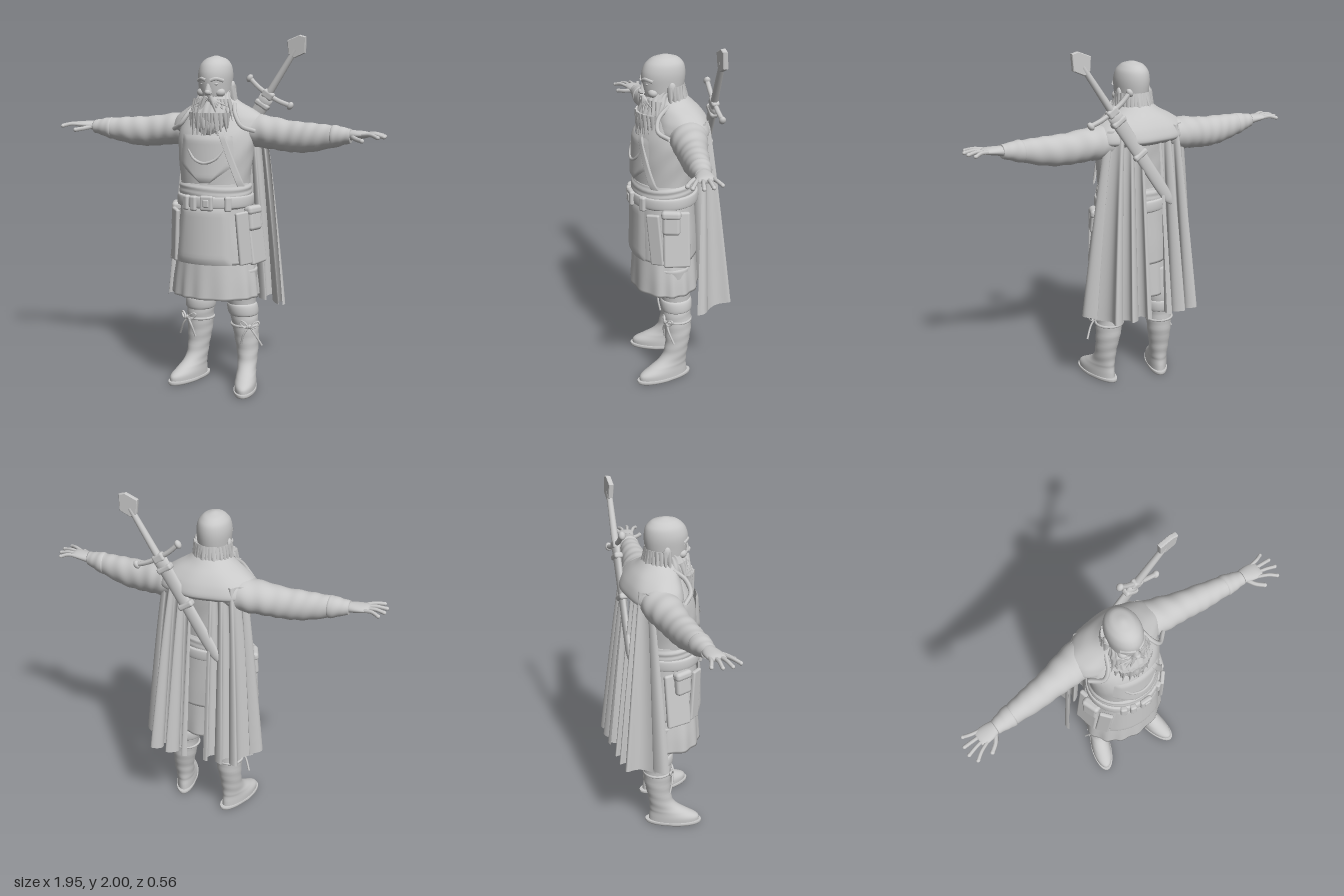
import * as THREE from 'three';
import { RoundedBoxGeometry } from 'three/addons/geometries/RoundedBoxGeometry.js';

const stone = new THREE.MeshStandardMaterial({ color: 0xc8c8c8, side: THREE.DoubleSide });
stone.name = 'plain grey';
const V = (x, y, z) => new THREE.Vector3(x, y, z);

function add(parent, name, geometry, x = 0, y = 0, z = 0, rx = 0, ry = 0, rz = 0) {
  const m = new THREE.Mesh(geometry, stone);
  m.name = name;
  m.position.set(x, y, z);
  m.rotation.set(rx, ry, rz);
  parent.add(m);
  return m;
}

// Grid surface; wrap joins the last column to the first
function skin(rows, cols, fn, wrap = false, flip = false) {
  const pos = [], idx = [], n = wrap ? cols : cols + 1;
  for (let i = 0; i <= rows; i++)
    for (let j = 0; j < n; j++) pos.push(...fn(i / rows, j / cols, i));
  for (let i = 0; i < rows; i++)
    for (let j = 0; j < cols; j++) {
      const a = i * n + j, b = i * n + (j + 1) % n, c = a + n, d = b + n;
      if (flip) idx.push(a, b, c, b, d, c); else idx.push(a, c, b, b, c, d);
    }
  const g = new THREE.BufferGeometry();
  g.setAttribute('position', new THREE.Float32BufferAttribute(pos, 3));
  g.setIndex(idx);
  g.computeVertexNormals();
  return g;
}

// Closed loft through elliptical sections [t, c1, c2, r1, r2] along axis y or x
function loft(keys, { axis = 'y', rows = 24, cols = 32, ripple = () => 1 } = {}) {
  const path = new THREE.CatmullRomCurve3(keys.map(k => V(k[0], k[1], k[2])));
  const size = new THREE.CatmullRomCurve3(keys.map(k => V(k[3], k[4], k[0])));
  const falling = keys[0][0] > keys[keys.length - 1][0];
  return skin(rows + 2, cols, (_, v, i) => {
    const u = THREE.MathUtils.clamp((i - 1) / rows, 0, 1);
    const p = path.getPoint(u), s = size.getPoint(u), a = v * Math.PI * 2;
    const k = i === 0 || i === rows + 2 ? 0 : ripple(a, u, p.x);
    const c = Math.cos(a) * s.x * k, d = Math.sin(a) * s.y * k;
    return axis === 'y' ? [p.y + c, p.x, p.z + d] : [p.x, p.y + c, p.z + d];
  }, true, (axis === 'x') !== falling);
}

// Tapered lock from a to b
function lock(parent, name, a, b, r, flat = 0.7) {
  const d = b.clone().sub(a), g = new THREE.ConeGeometry(r, d.length(), 8);
  const m = add(parent, name, g);
  m.position.copy(a).addScaledVector(d, 0.5);
  m.quaternion.setFromUnitVectors(V(0, 1, 0), d.normalize());
  m.scale.z = flat;
}
function cord(parent, name, pts, r) {
  add(parent, name, new THREE.TubeGeometry(new THREE.CatmullRomCurve3(pts.map(p => V(...p))), 16, r, 7));
}
function ball(parent, name, x, y, z, sx, sy, sz) {
  add(parent, name, new THREE.SphereGeometry(1, 20, 14), x, y, z).scale.set(sx, sy, sz);
}

// Curved plate lying on the front of an elliptical body
function plate(parent, name, y0, y1, edges, rx, rz, zc, lean = 0) {
  add(parent, name, skin(16, 20, (u, v) => {
    const [l, r] = edges(u), x = l + (r - l) * v;
    const rim = Math.min(1, 12 * Math.min(u, 1 - u, v, 1 - v));
    return [x, y0 + (y1 - y0) * u, zc + lean * u + (rz + 0.012 * rim) * Math.sqrt(Math.max(0, 1 - (x / rx) ** 2))];
  }, false, true));
}

function buildBody(g) {
  const pleats = (a, u) => 1 + (1 - u) * 0.025 * Math.sin(a * 13 + Math.sin(a * 3));
  add(g, 'skirt', loft([[0.54, 0, 0.06, 0.255, 0.19], [0.64, 0, 0.06, 0.245, 0.185], [0.76, 0, 0.06, 0.225, 0.178],
    [0.9, 0, 0.06, 0.2, 0.165]], { cols: 96, ripple: pleats }));
  add(g, 'tunicSkirt', loft([[0.74, 0, 0.06, 0.235, 0.182], [0.85, 0, 0.06, 0.225, 0.18], [0.98, 0, 0.06, 0.208, 0.174],
    [1.1, 0, 0.06, 0.198, 0.168]], { cols: 64, ripple: (a, u) => 1 + (1 - u) * 0.012 * Math.sin(a * 9) }));
  add(g, 'torso', loft([[1.04, 0, 0.06, 0.195, 0.165], [1.2, 0, 0.062, 0.2, 0.168], [1.34, 0, 0.057, 0.215, 0.168],
    [1.45, 0, 0.04, 0.222, 0.158], [1.54, 0, 0.015, 0.2, 0.135], [1.62, 0, 0.02, 0.1, 0.09]],
    { ripple: (a, u, y) => 1 + 0.006 * Math.sin(a * 7 + y * 40) }));
  add(g, 'sash', loft([[1.05, 0, 0.06, 0.2, 0.175], [1.08, 0, 0.06, 0.21, 0.184], [1.13, 0, 0.06, 0.208, 0.182],
    [1.17, 0, 0.06, 0.207, 0.18], [1.19, 0, 0.06, 0.198, 0.172]],
    { ripple: (a, u, y) => 1 + 0.01 * Math.sin(y * 190 + 1.5 * Math.sin(a * 2)) }));
  add(g, 'belt', loft([[1.055, 0, 0.06, 0.205, 0.18], [1.062, 0, 0.06, 0.218, 0.193], [1.118, 0, 0.06, 0.217, 0.192],
    [1.125, 0, 0.06, 0.205, 0.18]], { cols: 48 }));
  add(g, 'beltBuckle', new RoundedBoxGeometry(0.075, 0.085, 0.03, 3, 0.012), 0.02, 1.09, 0.255);
  add(g, 'buckleTongue', new RoundedBoxGeometry(0.035, 0.045, 0.02, 3, 0.008), 0.02, 1.09, 0.266);
  for (const [x, z, t] of [[-0.11, 0.225, -0.5], [0.13, 0.215, 0.6], [-0.06, 0.245, -0.25]])
    add(g, 'beltLoop', new RoundedBoxGeometry(0.04, 0.085, 0.035, 3, 0.012), x, 1.085, z, 0, t, 0);
  plate(g, 'apron', 0.74, 1.07, u => [-0.185 + 0.04 * u, 0.155 - 0.02 * u], 0.25, 0.187, 0.063, -0.012);
  // Shield-shaped breast plate and its raised band
  const shield = u => { const w = 0.155 * Math.min(1, 0.2 + 2.2 * u) - 0.03 * Math.max(0, u - 0.6); return [-w, w]; };
  plate(g, 'breastPlate', 1.2, 1.46, shield, 0.23, 0.17, 0.07, -0.02);
  cord(g, 'breastPlateBand', [[-0.1, 1.38, 0.215], [-0.06, 1.33, 0.237], [0, 1.31, 0.248], [0.06, 1.33, 0.237], [0.1, 1.38, 0.215]], 0.008);
  plate(g, 'shoulderStrap', 1.18, 1.48, u => [0.172 - 0.1 * u, 0.205 - 0.1 * u], 0.23, 0.172, 0.066, -0.012);
  // Hip bags and hanging side flaps
  for (const s of [-1, 1]) {
    add(g, 'sideFlap', new RoundedBoxGeometry(0.03, 0.32, 0.15, 3, 0.013), s * 0.235, 0.89, 0.05, 0, s * -0.2, s * 0.14);
    add(g, 'hipBag', new RoundedBoxGeometry(0.05, 0.13, 0.1, 4, 0.02), s * 0.232, 0.99, 0.08, 0, s * -0.35, s * 0.1);
    add(g, 'hipBagLid', new RoundedBoxGeometry(0.056, 0.05, 0.11, 4, 0.02), s * 0.23, 1.04, 0.08, 0, s * -0.35, s * 0.1);
    add(g, 'frontFlap', new RoundedBoxGeometry(0.08, 0.3, 0.025, 3, 0.01), s * 0.205, 0.89, 0.165, 0, s * 0.85, s * 0.1);
  }
  // Shoulder mantle
  add(g, 'mantle', loft([[1.46, 0, -0.025, 0.265, 0.14], [1.485, 0, -0.025, 0.288, 0.165], [1.54, 0, -0.022, 0.268, 0.152],
    [1.59, 0, -0.01, 0.2, 0.13], [1.63, 0, 0.01, 0.13, 0.11], [1.67, 0, 0.02, 0.085, 0.08]],
    { cols: 64, ripple: (a, u) => 1 + 0.02 * (1 - u) * Math.sin(a * 8) }));
  for (const s of [-1, 1])
    cord(g, 'collarEdge', [[s * 0.11, 1.625, 0.06], [s * 0.14, 1.57, 0.125], [s * 0.18, 1.51, 0.14], [s * 0.24, 1.48, 0.09]], 0.013);
}

function buildHead(g) {
  add(g, 'head', loft([[1.56, 0, 0.03, 0.08, 0.08], [1.65, 0, 0.06, 0.083, 0.1], [1.72, 0, 0.06, 0.09, 0.117],
    [1.79, 0, 0.058, 0.094, 0.122], [1.84, 0, 0.053, 0.083, 0.107], [1.872, 0, 0.05, 0.055, 0.072], [1.888, 0, 0.05, 0.012, 0.015]]));
  lock(g, 'nose', V(0, 1.685, 0.175), V(0, 1.775, 0.168), 0.024, 1);
  ball(g, 'noseTip', 0, 1.692, 0.182, 0.018, 0.016, 0.02);
  for (const s of [-1, 1]) {
    ball(g, 'cheek', s * 0.05, 1.69, 0.13, 0.032, 0.026, 0.03);
    ball(g, 'eye', s * 0.036, 1.737, 0.158, 0.016, 0.009, 0.012);
    cord(g, 'brow', [[s * 0.012, 1.757, 0.178], [s * 0.04, 1.766, 0.167], [s * 0.072, 1.755, 0.135]], 0.011);
    ball(g, 'ear', s * 0.093, 1.715, 0.035, 0.013, 0.036, 0.022);
    for (let i = 0; i < 4; i++)
      lock(g, 'moustache', V(s * 0.01, 1.668 - i * 0.004, 0.175), V(s * (0.065 + i * 0.014), 1.615 - 0.022 * (3 - i), 0.19 - i * 0.014), 0.018);
  }
  add(g, 'beard', loft([[1.46, 0, 0.165, 0.035, 0.03], [1.5, 0, 0.15, 0.082, 0.062], [1.56, 0, 0.125, 0.108, 0.083],
    [1.62, 0, 0.1, 0.108, 0.085], [1.67, 0, 0.085, 0.092, 0.075], [1.71, 0, 0.06, 0.084, 0.06]],
    { cols: 72, ripple: (a, u) => 1 + 0.035 * Math.sin(a * 18 + u * 5) }));
  // Beard ends
  for (let i = 0; i <= 14; i++) {
    const t = i / 7 - 1, c = Math.sqrt(1 - 0.8 * t * t), w = 0.012 * Math.sin(i * 2.6);
    lock(g, 'beardLock', V(t * 0.1, 1.58, 0.11 + 0.085 * c), V(t * 0.115 + w, 1.51 - 0.075 * c + w, 0.1 + 0.11 * c), 0.024);
    lock(g, 'upperBeardLock', V(t * 0.095, 1.65, 0.08 + 0.075 * c), V(t * 0.128, 1.545 + w, 0.09 + 0.105 * c), 0.022);
  }
  // Fringe of hair around the back of the head
  for (let i = 0; i < 17; i++) {
    const a = Math.PI * (0.96 + 1.08 * i / 16), c = Math.cos(a), s = Math.sin(a), w = 0.02 * Math.sin(i * 2.3);
    lock(g, 'hairLock', V(c * 0.08, 1.72, 0.035 + s * 0.075), V(c * 0.118, 1.575 + w, 0.03 + s * 0.125), 0.03);
  }
}

function buildArm(g, s, z0, slope) {
  const arm = new THREE.Group();
  arm.name = s > 0 ? 'leftArm' : 'rightArm';
  g.add(arm);
  const z = x => z0 + slope * (x - 0.3);
  const sec = (x, y, ry, rz) => [s * x, y, z(x), ry, rz];
  add(arm, 'sleeve', loft([sec(0.12, 1.49, 0.08, 0.1), sec(0.22, 1.475, 0.092, 0.105), sec(0.32, 1.465, 0.09, 0.095),
    sec(0.42, 1.452, 0.087, 0.08), sec(0.52, 1.45, 0.083, 0.074), sec(0.62, 1.457, 0.07, 0.062), sec(0.7, 1.465, 0.055, 0.053)],
    { axis: 'x', rows: 60, ripple: (a, u, x) => 1 + 0.022 * Math.sin(x * 75 + 2 * Math.sin(a + x * 9)) }));
  add(arm, 'cuff', loft([sec(0.66, 1.463, 0.05, 0.05), sec(0.675, 1.463, 0.062, 0.06), sec(0.74, 1.468, 0.047, 0.048),
    sec(0.78, 1.47, 0.038, 0.04)], { axis: 'x', ripple: (a, u, x) => 1 + 0.02 * Math.sin(x * 130 + a) }));
  add(arm, 'palm', loft([sec(0.76, 1.472, 0.03, 0.034), sec(0.81, 1.478, 0.024, 0.046), sec(0.86, 1.481, 0.018, 0.048),
    sec(0.885, 1.481, 0.011, 0.042)], { axis: 'x', rows: 12 }));
  // Four spread fingers and the thumb
  for (let i = 0; i < 4; i++) {
    const o = i - 1.5, len = [0.075, 0.096, 0.1, 0.078][i], zb = z(0.865) + o * 0.024;
    cord(arm, 'finger', [[s * 0.85, 1.481, zb], [s * (0.865 + len / 2), 1.485, zb + o * 0.012 + 0.01],
      [s * (0.865 + len), 1.475, zb + o * 0.026 + 0.016]], 0.0105);
    ball(arm, 'fingerTip', s * (0.865 + len), 1.475, zb + o * 0.026 + 0.016, 0.012, 0.0105, 0.0105);
  }
  cord(arm, 'thumb', [[s * 0.79, 1.47, z(0.79) + 0.025], [s * 0.82, 1.462, z(0.82) + 0.065], [s * 0.86, 1.455, z(0.86) + 0.092]], 0.0125);
  ball(arm, 'thumbTip', s * 0.86, 1.455, z(0.86) + 0.092, 0.0125, 0.0125, 0.0125);
}

function buildLeg(g, s, x, z, turn, lean) {
  const leg = new THREE.Group();
  leg.name = s > 0 ? 'leftLeg' : 'rightLeg';
  leg.position.set(x, 0, z);
  leg.rotation.y = turn;
  g.add(leg);
  add(leg, 'sole', loft([[0, 0, 0.1, 0.062, 0.155], [0.008, 0, 0.1, 0.067, 0.16], [0.022, 0, 0.1, 0.066, 0.16]],
    { rows: 6, ripple: a => 1 - 0.08 * Math.cos(2 * a) * (Math.sin(a) < 0 ? 1 : 0.4) }));
  add(leg, 'boot', loft([[0.015, 0, 0.1, 0.06, 0.152], [0.05, 0, 0.098, 0.06, 0.148], [0.085, 0, 0.07, 0.056, 0.115],
    [0.13, 0, 0.032, 0.055, 0.08], [0.2, 0, 0.012, 0.06, 0.07], [0.3, lean * 0.2, 0, 0.071, 0.078], [0.4, lean * 0.5, 0, 0.077, 0.082],
    [0.47, lean * 0.8, 0, 0.079, 0.082]], { rows: 40, ripple: (a, u, y) => 1 + 0.018 * Math.sin(y * 95 + 2 * Math.sin(a)) * (u > 0.3 ? 1 : 0) }));
  add(leg, 'bootCuff', loft([[0.42, lean * 0.6, 0, 0.074, 0.078], [0.43, lean * 0.65, 0, 0.085, 0.089], [0.485, lean * 0.85, 0, 0.086, 0.09],
    [0.5, lean * 0.9, 0, 0.07, 0.075]], { rows: 12 }));
  add(leg, 'thigh', loft([[0.44, lean * 0.7, 0, 0.07, 0.075], [0.52, lean, 0, 0.085, 0.088], [0.7, lean, 0.02, 0.095, 0.1]]));
  // Lace tied in a bow
  add(leg, 'lace', new THREE.TorusGeometry(0.078, 0.008, 8, 32), lean * 0.4, 0.365, 0, Math.PI / 2);
  for (const d of [-1, 1]) {
    add(leg, 'bowLoop', new THREE.TorusGeometry(0.026, 0.006, 8, 20), s * 0.02 + d * 0.032, 0.38, 0.085, 0, d * 0.4, d * 0.6).scale.y = 0.55;
    cord(leg, 'bowTail', [[s * 0.02, 0.37, 0.085], [s * 0.02 + d * 0.03, 0.33, 0.09], [s * 0.03 + d * 0.06, 0.26, 0.075]], 0.006);
  }
  ball(leg, 'bowKnot', s * 0.02, 0.37, 0.087, 0.013, 0.013, 0.012);
}

function buildCape(g) {
  for (const [s, hem] of [[-1, 0.335], [1, 0.375]])
    add(g, s > 0 ? 'leftCapePanel' : 'rightCapePanel', skin(30, 80, (v, u) => {
      const drop = 1 - v, spread = Math.pow(drop, 0.8), back = Math.min(1, u * 2.2);
      const fold = Math.sin(u * Math.PI * 6.5 + 0.6), outer = 0.235 + (hem - 0.235) * spread;
      const x = outer + (0.05 - outer) * u + 0.018 * spread * Math.sin(u * Math.PI * 13);
      const zFront = -0.095 + 0.065 * drop, zBack = -0.145 - 0.075 * drop;
      const z = zFront + (zBack - zFront) * Math.sin(back * Math.PI / 2) - fold * (0.008 + 0.045 * spread) * Math.min(1, u * 5);
      return [s * x, 0.47 + 1.08 * v + 0.01 * drop * fold, z];
    }, false, s < 0));
}

function buildSword(g) {
  const sword = new THREE.Group();
  sword.name = 'sword';
  sword.position.set(0.24, 1.67, -0.155);
  sword.rotation.set(0.06, 0, -0.57);
  g.add(sword);
  add(sword, 'grip', new THREE.CylinderGeometry(0.016, 0.021, 0.3, 14), 0, 0.15, 0);
  const kite = new THREE.Shape([[-0.018, 0.26], [0.018, 0.26], [0.054, 0.315], [0.012, 0.388], [-0.02, 0.378], [-0.062, 0.318]].map(p => new THREE.Vector2(...p)));
  add(sword, 'pommel', new THREE.ExtrudeGeometry(kite, { depth: 0.012, bevelSize: 0.004, bevelThickness: 0.008, bevelSegments: 2 }), 0, 0, -0.006);
  cord(sword, 'crossGuard', [[-0.14, 0.015, 0], [-0.07, 0, 0], [0, -0.003, 0], [0.07, 0, 0], [0.14, 0.015, 0]], 0.014);
  for (const s of [-1, 1]) ball(sword, 'guardEnd', s * 0.142, 0.015, 0, 0.017, 0.024, 0.019);
  add(sword, 'guardBlock', new RoundedBoxGeometry(0.07, 0.05, 0.045, 3, 0.014), 0, -0.005, 0);
  add(sword, 'scabbard', loft([[-0.66, 0, 0, 0.012, 0.008], [-0.62, 0, 0, 0.028, 0.014], [-0.3, 0, 0, 0.036, 0.018], [-0.02, 0, 0, 0.042, 0.021]]));
  for (const y of [-0.07, -0.3]) add(sword, 'scabbardBand', new RoundedBoxGeometry(0.092, 0.035, 0.05, 3, 0.014), 0, y, 0);
}

export function createModel() {
  const model = new THREE.Group();
  model.name = 'beardedWarrior';
  buildBody(model);
  buildHead(model);
  buildArm(model, 1, -0.005, 0.17);
  buildArm(model, -1, -0.035, 0.1);
  buildLeg(model, 1, 0.185, 0.025, 0.2, -0.04);
  buildLeg(model, -1, -0.135, -0.035, -0.35, 0.01);
  buildCape(model);
  buildSword(model);
  return model;
}
